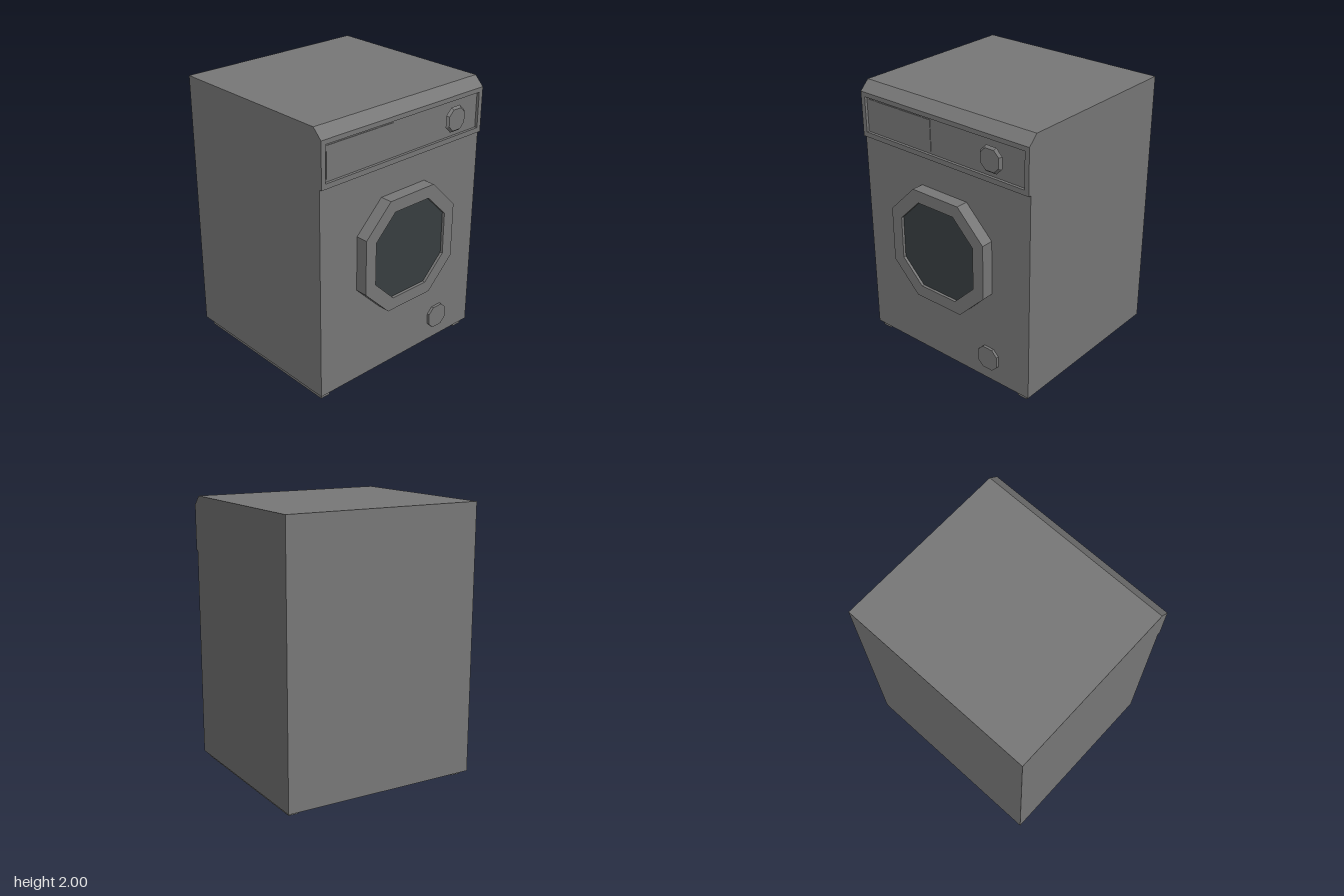
import * as THREE from 'three';

const grey = new THREE.MeshStandardMaterial({ color: 0x777777, flatShading: true, side: THREE.DoubleSide });
const dark = new THREE.MeshStandardMaterial({ color: 0x383e40, flatShading: true, side: THREE.DoubleSide });

const polygon = (points) => new THREE.Shape(points.map(([x, y]) => new THREE.Vector2(x, y)));

const rect = (x0, y0, x1, y1) => polygon([[x0, y0], [x1, y0], [x1, y1], [x0, y1]]);

// Octagon with half width h and flat sides of half length c
const octagon = (h, c) => polygon([
  [h, -c], [h, c], [c, h], [-c, h], [-h, c], [-h, -c], [-c, -h], [c, -h],
]);

// Extrudes a shape between two z values, with an optional hole
function slab(shape, z0, z1, hole) {
  if (hole) shape.holes.push(hole);
  return new THREE.ExtrudeGeometry(shape, { depth: z1 - z0, bevelEnabled: false }).translate(0, 0, z0);
}

export function createModel() {
  const model = new THREE.Group();
  const add = (name, geometry, x = 0, y = 0, material = grey) => {
    const mesh = new THREE.Mesh(geometry, material);
    mesh.name = name;
    mesh.position.set(x, y, 0);
    model.add(mesh);
  };

  // Cabinet: side profile (z, y) with a chamfered top front edge
  const profile = polygon([
    [-0.725, 0.04], [0.635, 0.04], [0.635, 1.93], [0.655, 1.93], [0.585, 2], [-0.725, 2],
  ]);
  add('cabinet', slab(profile, -0.74, 0.74).rotateY(-Math.PI / 2));

  // Control panel: raised frame around a shallow recess
  add('controlPanel', slab(rect(-0.74, 1.6, 0.74, 1.93), 0.635, 0.655, rect(-0.705, 1.637, 0.705, 1.897)));
  add('detergentDrawer', slab(rect(-0.685, 1.655, -0.105, 1.88), 0.635, 0.639));

  // Program dial, tapering towards the front
  const dial = slab(octagon(0.09, 0.042), 0.668, 0.686);
  const p = dial.attributes.position;
  for (let i = 0; i < p.count; i++) {
    if (p.getZ(i) > 0.68) p.setXY(i, p.getX(i) * 0.84, p.getY(i) * 0.84);
  }
  dial.computeVertexNormals();
  add('programDial', dial, 0.45, 1.772);

  // Door ring and window
  add('doorRing', slab(octagon(0.419, 0.203), 0.63, 0.725, octagon(0.329, 0.158)), 0, 0.961);
  add('doorWindow', slab(octagon(0.329, 0.158), 0.64, 0.705), 0, 0.961, dark);

  // Drain filter cap
  add('filterCap', slab(octagon(0.085, 0.042), 0.63, 0.655), 0.387, 0.222);

  // Foot rails, hollow underneath
  const rails = [['leftFootRail', 0.668], ['rightFootRail', -0.682]];
  for (const [name, x] of rails) {
    const rail = slab(
      rect(-0.038, -0.635, 0.038, 0.635), 0, 0.04,
      rect(-0.018, -0.615, 0.018, 0.615),
    );
    add(name, rail.rotateX(-Math.PI / 2).translate(0, 0, -0.025), x);
  }

  return model;
}
